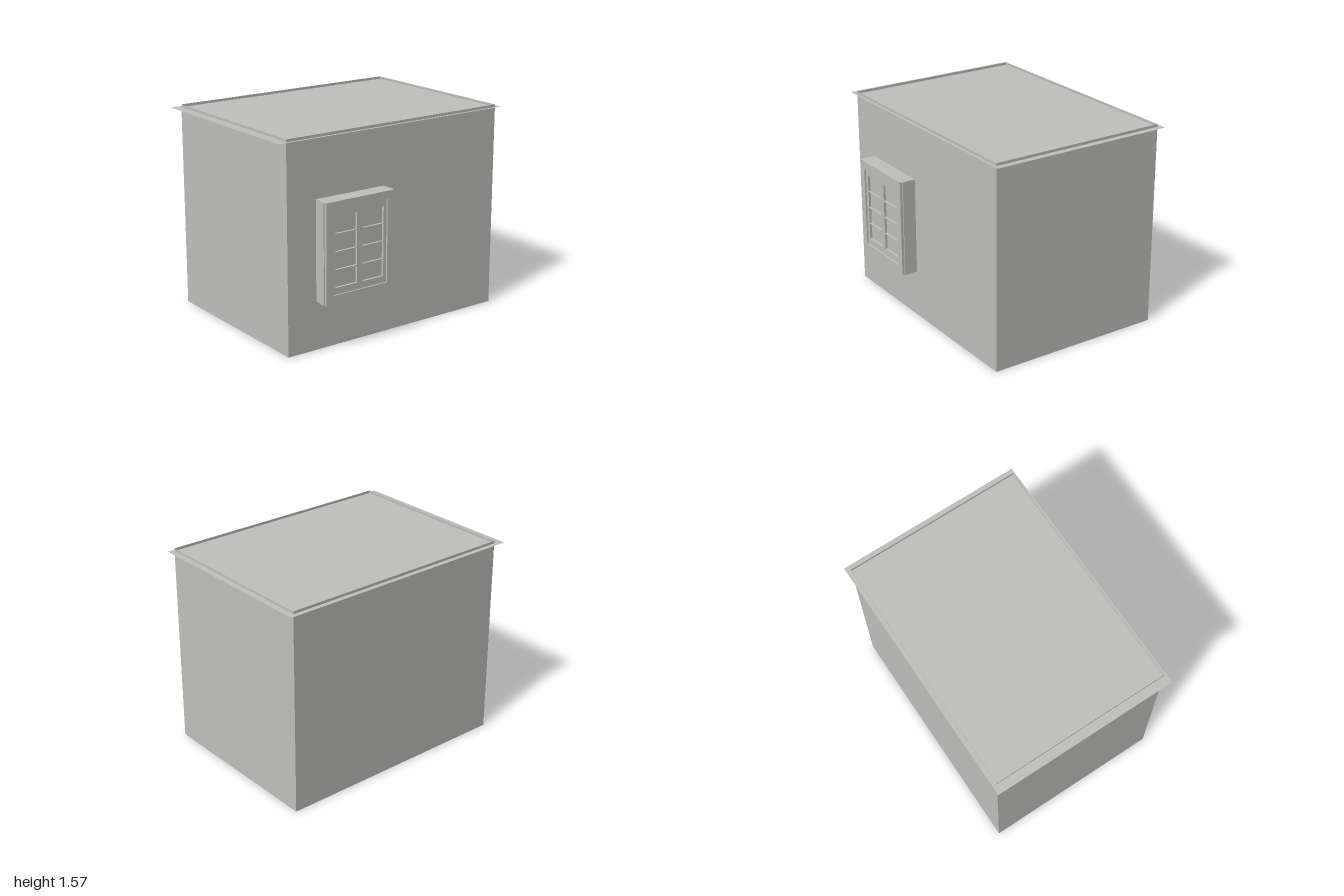
import * as THREE from 'three';

// Closed rectangle, usable as a shape outline or a hole
function rect(Type, x0, x1, y0, y1) {
  const p = new Type();
  p.moveTo(x0, y0);
  p.lineTo(x1, y0);
  p.lineTo(x1, y1);
  p.lineTo(x0, y1);
  p.closePath();
  return p;
}

export function createModel() {
  const group = new THREE.Group();
  const plaster = new THREE.MeshStandardMaterial({ color: 0xc0c0bd, side: THREE.DoubleSide });
  plaster.name = 'plaster grey';

  const X0 = -0.93, X1 = 0.955, Z0 = -0.74, Z1 = 0.65, H = 1.565;
  const cx = (X0 + X1) / 2, cz = (Z0 + Z1) / 2;

  function add(name, geometry, x = 0, y = 0, z = 0, parent = group) {
    const mesh = new THREE.Mesh(geometry, plaster);
    mesh.name = name;
    mesh.position.set(x, y, z);
    parent.add(mesh);
    return mesh;
  }

  // Thin walls, open below; the front one is pierced for the window
  const front = rect(THREE.Shape, X0, X1, 0, H);
  front.holes.push(rect(THREE.Path, -0.69, -0.1, 0.365, 1.11));
  add('frontWall', new THREE.ShapeGeometry(front), 0, 0, Z1);
  add('backWall', new THREE.PlaneGeometry(X1 - X0, H), cx, H / 2, Z0).rotation.y = Math.PI;
  add('rightWall', new THREE.PlaneGeometry(Z1 - Z0, H), X0, H / 2, cz).rotation.y = -Math.PI / 2;
  add('leftWall', new THREE.PlaneGeometry(Z1 - Z0, H), X1, H / 2, cz).rotation.y = Math.PI / 2;

  // Flat roof sheet just below the wall tops, overhanging as eaves
  add('roofSheet', new THREE.PlaneGeometry(2, 1.445), 0, 1.545, -0.0525).rotation.x = -Math.PI / 2;

  // Window: stacked frame layers [name, outer rectangle, holes, back z, front z]
  const window = new THREE.Group();
  window.name = 'window';
  group.add(window);

  const panes = [];
  for (const x of [-0.605, -0.37]) {
    for (let row = 0; row < 4; row++) {
      const y = 0.48 + row * 0.1315;
      panes.push([x, x + 0.185, y, y + 0.125]);
    }
  }
  const opening = [-0.635, -0.16, 0.43, 1.05];
  const layers = [
    ['reveal', [-0.69, -0.1, 0.365, 1.11], [[-0.685, -0.105, 0.37, 1.105]], 0.65, 0.715],
    ['casing', [-0.7, -0.095, 0.365, 1.11], [opening], 0.715, 0.755],
    ['trim', [-0.692, -0.103, 0.365, 1.11], [opening], 0.755, 0.775],
    ['sash', opening, panes, 0.73, 0.763],
  ];
  for (const [name, outer, holes, back, frontZ] of layers) {
    const shape = rect(THREE.Shape, ...outer);
    for (const h of holes) shape.holes.push(rect(THREE.Path, ...h));
    const geometry = new THREE.ExtrudeGeometry(shape, { depth: frontZ - back, bevelEnabled: false });
    add(name, geometry, 0, 0, back, window);
  }

  // Panes set back in the sash
  for (const [x0, x1, y0, y1] of panes) {
    add('pane', new THREE.PlaneGeometry(x1 - x0, y1 - y0), (x0 + x1) / 2, (y0 + y1) / 2, 0.745, window);
  }

  return group;
}
